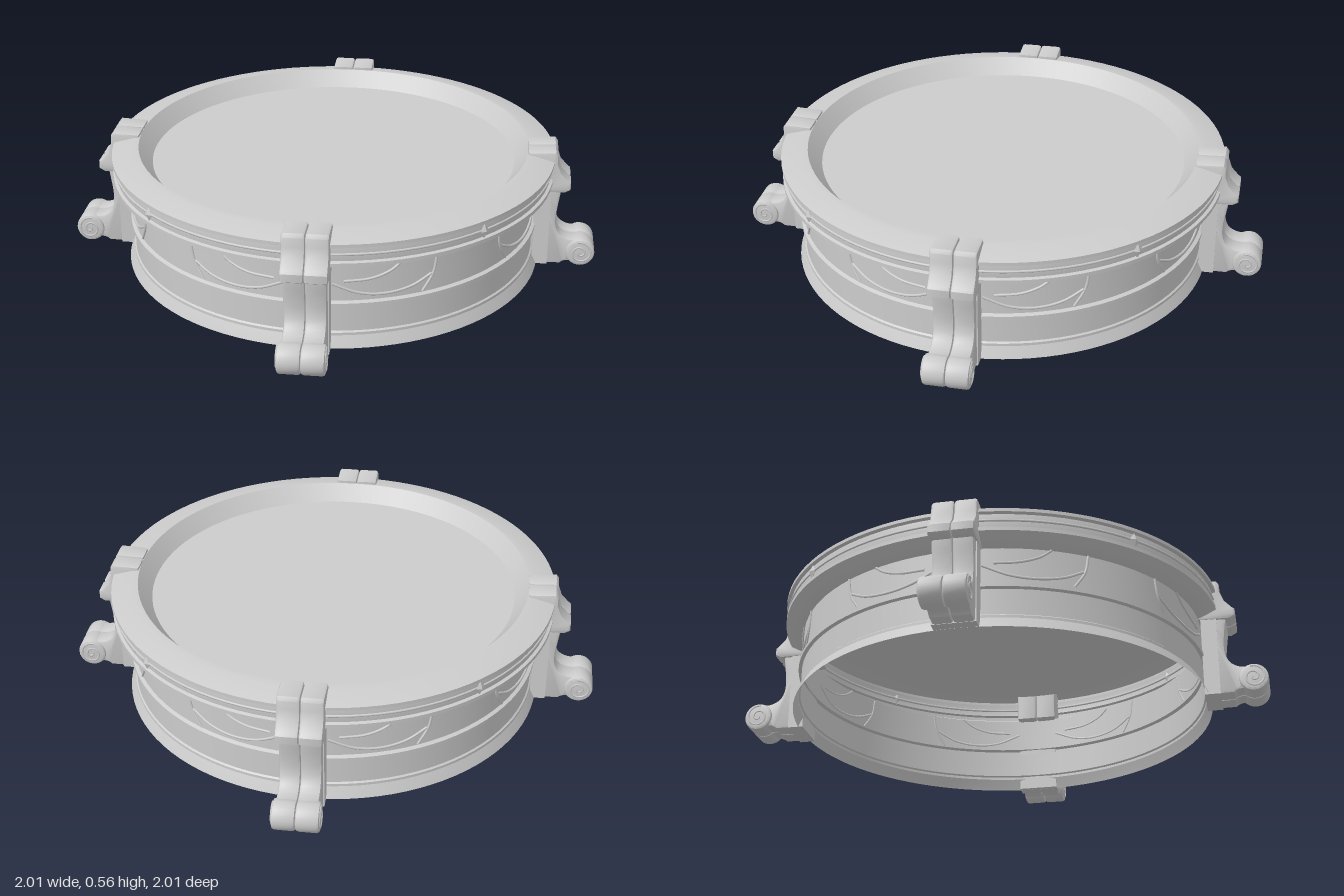
import * as THREE from 'three';
import { toCreasedNormals } from 'three/addons/utils/BufferGeometryUtils.js';

const mat = new THREE.MeshStandardMaterial({ color: 0xcccccc, side: THREE.DoubleSide });

function add(parent, name, geometry) {
  const mesh = new THREE.Mesh(geometry, mat);
  mesh.name = name;
  parent.add(mesh);
  return mesh;
}

const vecs = (pts) => pts.map(([x, y]) => new THREE.Vector2(x, y));

// Point on the drum wall at an azimuth (degrees, 0 = front) and height
function onWall(deg, y, r = 0.917) {
  const a = THREE.MathUtils.degToRad(deg);
  return new THREE.Vector3(Math.sin(a) * r, y, Math.cos(a) * r);
}

// Raised moulding that follows the wall through [azimuth, height] points
function moulding(parent, name, pts) {
  const curve = new THREE.CatmullRomCurve3(pts.map(([d, y]) => onWall(d, y)));
  add(parent, name, new THREE.TubeGeometry(curve, 20, 0.006, 6));
}

// Side profile (radius, height) extruded as two bevelled lobes with a groove between
function lobes(parent, name, shape, width) {
  const bevel = 0.012;
  const depth = width / 2 - 2 * bevel;
  const geo = toCreasedNormals(new THREE.ExtrudeGeometry(shape, {
    depth, bevelSize: bevel, bevelThickness: bevel, bevelOffset: -bevel, bevelSegments: 2, curveSegments: 14,
  }), 0.6);
  for (const s of [-1, 1]) {
    add(parent, name, geo).position.z = s * width / 4 - depth / 2;
  }
}

function makeLeg() {
  const leg = new THREE.Group();
  leg.name = 'leg';

  // Flared cap clasping the rim
  const cap = new THREE.Shape(vecs([
    [0.88, 0.37], [0.88, 0.55], [1.0, 0.556], [1.012, 0.54], [1.014, 0.5], [1.03, 0.455],
    [1.062, 0.42], [1.075, 0.41], [1.075, 0.375], [1.05, 0.36], [0.93, 0.36],
  ]));
  lobes(leg, 'legCap', cap, 0.196);

  // Concave shaft sweeping out into the foot
  const shaft = new THREE.Shape();
  shaft.moveTo(0.93, 0.002);
  shaft.lineTo(0.93, 0.38);
  shaft.lineTo(1.035, 0.38);
  shaft.bezierCurveTo(1.03, 0.3, 0.99, 0.17, 1.06, 0.137);
  shaft.quadraticCurveTo(1.09, 0.12, 1.135, 0.13);
  shaft.lineTo(1.15, 0.01);
  shaft.quadraticCurveTo(1.07, 0.03, 1.05, 0.002);
  lobes(leg, 'legShaft', shaft, 0.176);

  // Rolled scroll at the toe
  const roll = new THREE.Shape();
  roll.absarc(1.137, 0.066, 0.065, 0, Math.PI * 2);
  lobes(leg, 'footScroll', roll, 0.198);

  // Spiral ridge on each side of the scroll
  const spiral = [];
  for (let i = 0; i <= 28; i++) {
    const a = 1.8 - i * 0.4;
    const r = 0.054 - i * 0.0017;
    spiral.push(new THREE.Vector3(1.137 + Math.cos(a) * r, 0.066 + Math.sin(a) * r, 0));
  }
  const spiralGeo = new THREE.TubeGeometry(new THREE.CatmullRomCurve3(spiral), 70, 0.005, 6);
  for (const z of [-0.098, 0.098]) add(leg, 'spiralRidge', spiralGeo).position.z = z;

  // Flat plate joining the leg to the wall
  add(leg, 'backPlate', new THREE.BoxGeometry(0.07, 0.375, 0.186)).position.set(0.955, 0.188, 0);
  return leg;
}

export function createModel() {
  const model = new THREE.Group();
  model.name = 'roundPedestal';

  // Hollow shell: flared base, bead, wall, cornice, rim and recessed floor
  const profile = vecs([
    [0.945, 0], [0.94, 0.012], [0.922, 0.05], [0.922, 0.062], [0.915, 0.068], [0.915, 0.183],
    [0.93, 0.188], [0.93, 0.203], [0.915, 0.21], [0.915, 0.37], [0.935, 0.376], [0.96, 0.388],
    [0.998, 0.408], [0.998, 0.425], [0.985, 0.43], [0.988, 0.46], [0.985, 0.49],
    [1.0, 0.495], [1.0, 0.51], [0.91, 0.536], [0.88, 0.538], [0.82, 0.465], [0, 0.465],
  ]);
  add(model, 'drum', toCreasedNormals(new THREE.LatheGeometry(profile, 96), 0.35));

  // Thin band around the middle of the rim
  const band = add(model, 'rimBand', new THREE.TorusGeometry(0.987, 0.006, 8, 96));
  band.rotation.x = Math.PI / 2;
  band.position.y = 0.46;

  // Four sides: a diamond stud on the rim and mirrored swags on the wall
  for (let side = 0; side < 4; side++) {
    const turn = side * 90;
    const stud = add(model, 'diamondStud', new THREE.OctahedronGeometry(1, 0));
    stud.scale.set(0.025, 0.035, 0.014);
    stud.position.copy(onWall(turn, 0.458, 0.99));
    stud.rotation.y = THREE.MathUtils.degToRad(turn);

    for (const m of [-1, 1]) {
      const at = (pts) => pts.map(([d, y]) => [turn + m * d, y]);
      moulding(model, 'swagEnd', at([[11, 0.37], [12, 0.29], [15, 0.215]]));
      moulding(model, 'swag', at([[12.5, 0.29], [18, 0.25], [25, 0.233], [32, 0.245], [39, 0.29]]));
      moulding(model, 'swagDivider', at([[21, 0.37], [24, 0.335], [29, 0.308], [36, 0.3]]));
    }

    const leg = makeLeg();
    leg.rotation.y = THREE.MathUtils.degToRad(turn + 45);
    model.add(leg);
  }
  return model;
}
